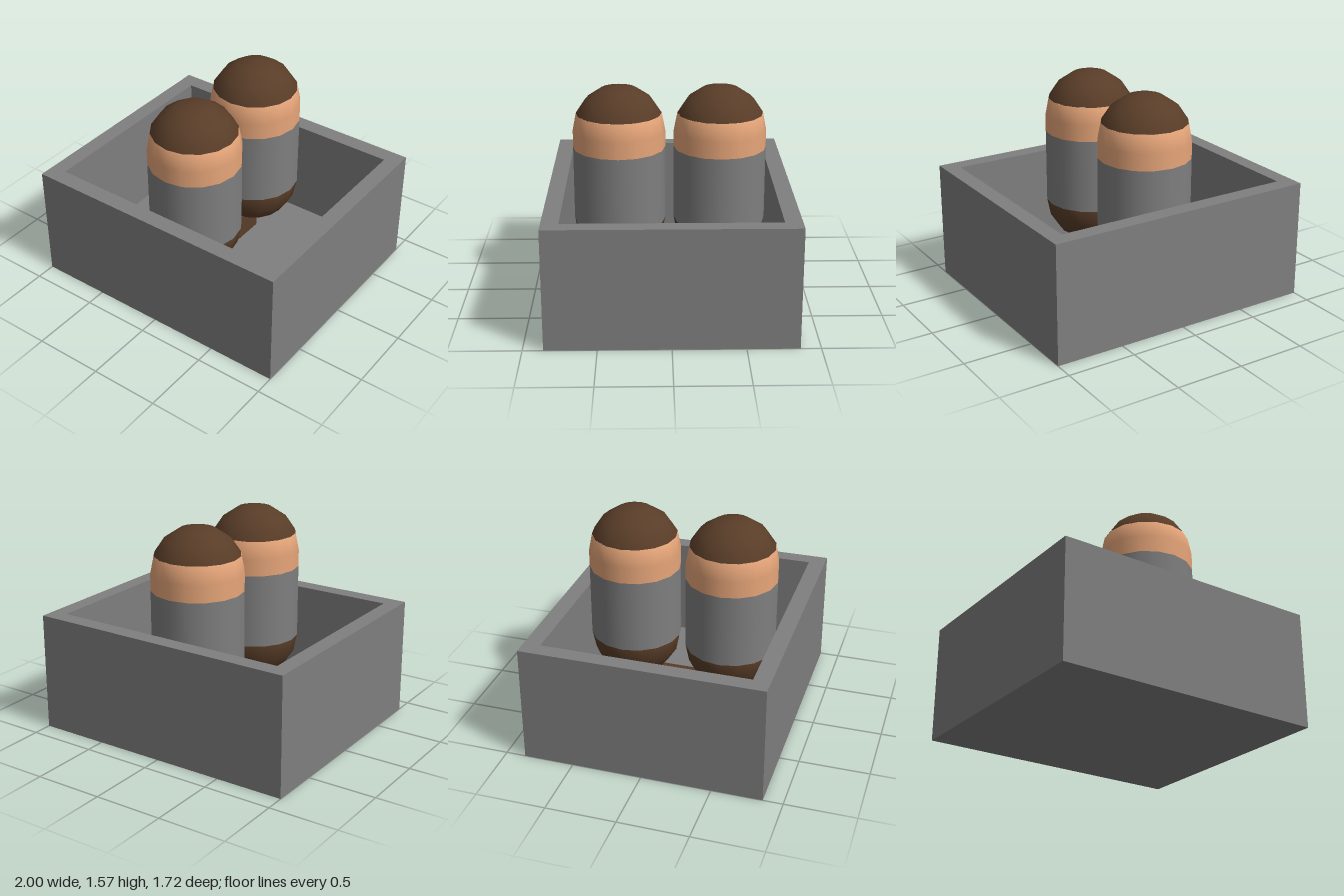
import * as THREE from 'three';

const R = 0.33, SIDES = 16;
const LOW = 0.575, HIGH = 1.235; // centres of the two rounded ends

const mat = (name, color) => {
  const m = new THREE.MeshStandardMaterial({ color });
  m.name = name;
  return m;
};

// One colour band of a capsule, with normals that run smoothly across bands
function band(name, profile, material) {
  const geo = new THREE.LatheGeometry(profile.map(p => new THREE.Vector2(...p)), SIDES);
  const pos = geo.attributes.position, n = new THREE.Vector3();
  for (let i = 0; i < pos.count; i++) {
    n.fromBufferAttribute(pos, i);
    n.y -= THREE.MathUtils.clamp(n.y, LOW, HIGH);
    n.normalize();
    geo.attributes.normal.setXYZ(i, n.x, n.y, n.z);
  }
  const mesh = new THREE.Mesh(geo, material);
  mesh.name = name;
  return mesh;
}

// Ring of a rounded end, k steps of 22.5 degrees from its equator
const ring = (k, centre, dir) => {
  const a = k * Math.PI / 8;
  return [k === 4 ? 0 : R * Math.cos(a), centre + dir * R * Math.sin(a)];
};

export function createModel() {
  const model = new THREE.Group();
  const grey = mat('grey', 0x7f7f7f);
  const skin = mat('skin', 0xeba97c);
  const brown = mat('dark brown', 0x593d28);

  const add = (name, geo, material, x, y, z) => {
    const mesh = new THREE.Mesh(geo, material);
    mesh.name = name;
    mesh.position.set(x, y, z);
    model.add(mesh);
  };

  // Open box: one frame of walls with a floor inside
  const rect = (C, x, z) => {
    const s = new C();
    s.moveTo(-x, -z).lineTo(x, -z).lineTo(x, z).lineTo(-x, z).closePath();
    return s;
  };
  const frame = rect(THREE.Shape, 1, 0.86);
  frame.holes.push(rect(THREE.Path, 0.885, 0.74));
  const walls = new THREE.ExtrudeGeometry(frame, { depth: 0.86, bevelEnabled: false });
  walls.rotateX(-Math.PI / 2);
  add('boxWalls', walls, grey, 0, 0, 0);
  add('boxFloor', new THREE.BoxGeometry(1.77, 0.115, 1.48), grey, 0, 0.0575, 0);

  // Narrow bar joining the two figures
  add('connectingBar', new THREE.BoxGeometry(0.06, 0.18, 0.72), brown, 0, 0.205, 0);

  // Two capsule figures, one behind the other
  for (const [name, z] of [['frontFigure', 0.36], ['backFigure', -0.36]]) {
    const figure = new THREE.Group();
    figure.name = name;
    figure.position.z = z;
    figure.add(
      band('base', [4, 3, 2, 1, 0].map(k => ring(k, LOW, -1)), brown),
      band('body', [[R, LOW], [R, 1.113]], grey),
      band('face', [[R, 1.113], ring(0, HIGH, 1), ring(1, HIGH, 1)].slice(0, 2)
        .concat([[R * Math.cos(Math.PI / 8), 1.361]]), skin),
      band('hair', [1, 2, 3, 4].map(k => ring(k, HIGH, 1)), brown)
    );
    model.add(figure);
  }
  return model;
}
